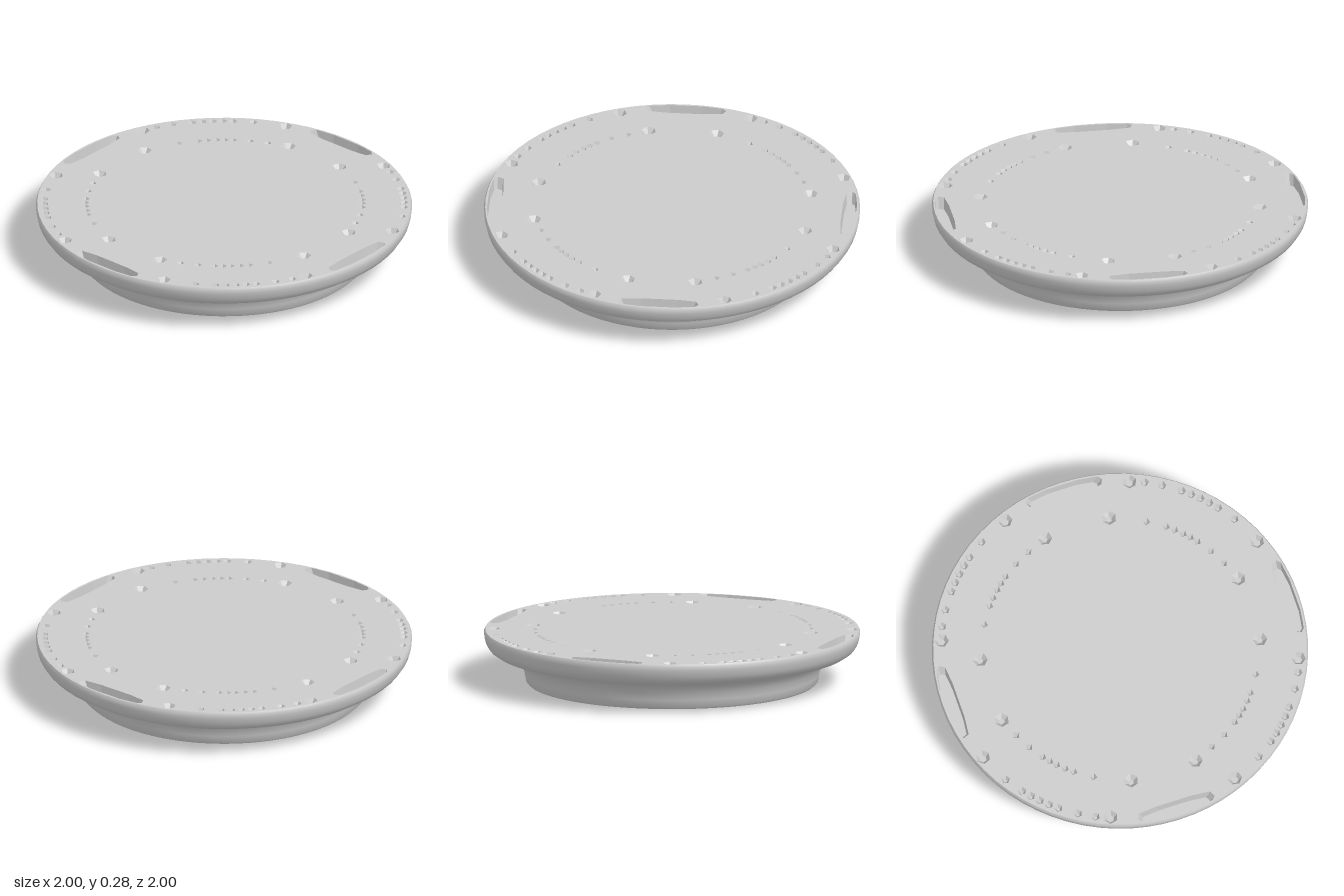
import * as THREE from 'three';
import { toCreasedNormals } from 'three/addons/utils/BufferGeometryUtils.js';

const TOP = 0.285;
const V = (x, y) => new THREE.Vector2(x, y);

// Regular polygon outline at a polar position (degrees)
function pitOutline(radius, degrees, size, sides) {
  const a = THREE.MathUtils.degToRad(degrees);
  return Array.from({ length: sides }, (_, i) => {
    const t = a + (i / sides) * Math.PI * 2;
    return V(radius * Math.cos(a) + size * Math.cos(t), radius * Math.sin(a) + size * Math.sin(t));
  });
}

// Walls and floor of a hollow sunk into the top; outline runs counter-clockwise
function recess(outline, depth, shrink) {
  const centre = outline.reduce((s, p) => s.add(p), V(0, 0)).divideScalar(outline.length);
  const floor = outline.map(p => p.clone().lerp(centre, 1 - shrink));
  const pos = [];
  const put = (p, h) => pos.push(p.x, h, -p.y);
  outline.forEach((a, i) => {
    const j = (i + 1) % outline.length;
    const b = outline[j], c = floor[i], d = floor[j];
    put(a, TOP); put(b, TOP); put(c, TOP - depth);
    put(b, TOP); put(d, TOP - depth); put(c, TOP - depth);
    put(c, TOP - depth); put(d, TOP - depth); put(centre, TOP - depth);
  });
  const g = new THREE.BufferGeometry();
  g.setAttribute('position', new THREE.Float32BufferAttribute(pos, 3));
  g.computeVertexNormals();
  return g;
}

export function createModel() {
  const group = new THREE.Group();
  const smooth = new THREE.MeshStandardMaterial({ color: 0xcccccc });
  const faceted = new THREE.MeshStandardMaterial({ color: 0xcccccc, flatShading: true });
  const add = (geometry, material, name) => {
    const mesh = new THREE.Mesh(geometry, material);
    mesh.name = name;
    group.add(mesh);
  };

  // Hollow foot, flared underside and rounded rim in one turned profile
  const profile = [
    [0, 0.25], [0.69, 0.25], [0.712, 0.24], [0.722, 0.21], [0.733, 0.02], [0.742, 0],
    [0.765, 0], [0.777, 0.012], [0.783, 0.05], [0.795, 0.09], [0.818, 0.125], [0.85, 0.147],
    [0.90, 0.157], [0.94, 0.166], [0.972, 0.187], [0.99, 0.215], [0.998, 0.25], [1, 0.272], [0.993, TOP],
  ].map(p => V(...p));
  add(toCreasedNormals(new THREE.LatheGeometry(profile, 72), 0.7), smooth, 'hollowBody');

  // Hollows of one quarter, repeated four times around the disc
  const slot = [
    [0.915, -0.2], [0.945, -0.215], [0.965, -0.195], [0.98, -0.09], [0.98, 0.09],
    [0.965, 0.195], [0.945, 0.215], [0.915, 0.2], [0.905, 0.1], [0.905, -0.1],
  ].map(p => V(...p));
  const outerSmall = [32, 38.5, 41.8, 45, 48.2, 51.5, 58, 63.7];
  const innerSmall = [23, 30.5, 37.5, 41, 44.3, 48.2, 52, 60.5];
  const holes = [];
  const sink = (outline, depth, shrink, name) => {
    holes.push(outline);
    add(recess(outline, depth, shrink), faceted, name);
  };
  for (let q = 0; q < 4; q++) {
    const turn = q * 90;
    const a = THREE.MathUtils.degToRad(turn);
    sink(slot.map(p => p.clone().rotateAround(V(0, 0), a)), 0.06, 0.88, 'rimSlot');
    for (const d of [21.5, 68.5]) sink(pitOutline(0.95, d + turn, 0.039, 6), 0.03, 0.5, 'largeOuterPit');
    for (const d of [14, 76]) sink(pitOutline(0.745, d + turn, 0.04, 6), 0.028, 0.4, 'largeInnerPit');
    for (const d of outerSmall) sink(pitOutline(0.955, d + turn, 0.024, 5), 0.025, 0.4, 'smallOuterPit');
    for (const d of innerSmall) sink(pitOutline(0.735, d + turn, 0.021, 4), 0.025, 0.2, 'smallInnerPit');
  }

  // Flat top plate pierced by the hollows
  const plate = new THREE.Shape(Array.from({ length: 72 }, (_, i) => {
    const t = (i / 72) * Math.PI * 2;
    return V(0.993 * Math.cos(t), 0.993 * Math.sin(t));
  }));
  plate.holes = holes.map(h => new THREE.Path(h));
  add(new THREE.ShapeGeometry(plate).rotateX(-Math.PI / 2).translate(0, TOP, 0), smooth, 'topPlate');
  return group;
}
